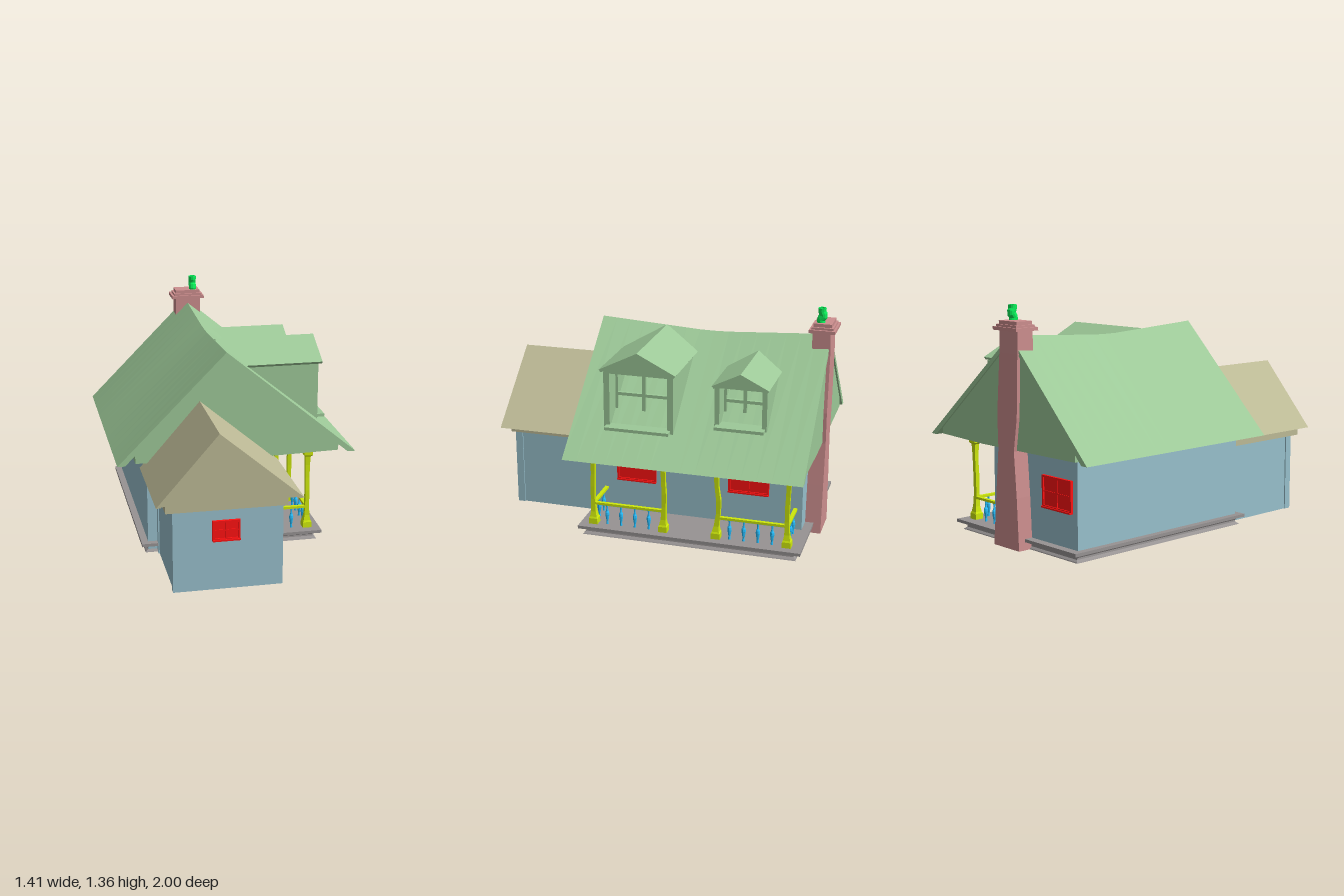
import * as THREE from 'three';

const mat = (color, side = THREE.FrontSide) => new THREE.MeshStandardMaterial({ color, flatShading: true, side });
const WALL = mat(0x98c0cc), ROOF = mat(0x9dc998), ANNEX_ROOF = mat(0xbdba96), BRICK = mat(0xcc8e8e);
const STONE = mat(0x979393), YELLOW = mat(0xcee80c), RED = mat(0xff1212), CYAN = mat(0x28c0ff);
const PIPE = mat(0x0af05a, THREE.DoubleSide);

function add(parent, name, geometry, material) {
  const m = new THREE.Mesh(geometry, material);
  m.name = name;
  parent.add(m);
  return m;
}

// box given by its limits
function box(parent, name, material, x0, x1, y0, y1, z0, z1) {
  const g = new THREE.BoxGeometry(x1 - x0, y1 - y0, z1 - z0);
  g.translate((x0 + x1) / 2, (y0 + y1) / 2, (z0 + z1) / 2);
  return add(parent, name, g, material);
}

// polygon in x/y extruded from z0 to z1
function prism(points, z0, z1, hole, steps = 1) {
  const shape = new THREE.Shape(points.map(p => new THREE.Vector2(...p)));
  if (hole) shape.holes.push(new THREE.Path(hole.map(p => new THREE.Vector2(...p))));
  const g = new THREE.ExtrudeGeometry(shape, { depth: z1 - z0, steps, bevelEnabled: false });
  return g.translate(0, 0, z0);
}

// rectangular sections [y, x0, x1, z0, z1] joined in order and capped
function loft(sections) {
  const rings = sections.map(([y, x0, x1, z0, z1]) => [[x0, y, z1], [x1, y, z1], [x1, y, z0], [x0, y, z0]]);
  const pos = [];
  const quad = (a, b, c, d) => [a, b, c, a, c, d].forEach(p => pos.push(...p));
  for (let k = 0; k + 1 < rings.length; k++) {
    for (let i = 0; i < 4; i++) {
      const j = (i + 1) % 4;
      quad(rings[k][i], rings[k][j], rings[k + 1][j], rings[k + 1][i]);
    }
  }
  quad(...rings[rings.length - 1]);
  quad(...[...rings[0]].reverse());
  const g = new THREE.BufferGeometry();
  g.setAttribute('position', new THREE.Float32BufferAttribute(pos, 3));
  g.computeVertexNormals();
  return g;
}

// let the ridge drop in two straight runs to a short level stretch
function sag(g) {
  const p = g.attributes.position;
  for (let i = 0; i < p.count; i++) {
    const t = THREE.MathUtils.clamp((p.getZ(i) + 0.965) / 1.39, 0, 1);
    const y = p.getY(i);
    p.setY(i, y - 0.038 * Math.min(1, t / 0.457, (1 - t) / 0.45) * Math.max(0, y - 0.56) / 0.64);
  }
  g.computeVertexNormals();
  return g;
}

// framed window facing +z, centred on its origin
function makeWindow(parent, w, h, x, y, z, turn) {
  const g = new THREE.Group();
  g.name = 'window';
  const a = w / 2, b = h / 2, f = 0.012;
  box(g, 'windowPane', RED, -a + f, a - f, -b + f, b - f, -0.01, 0.008);
  add(g, 'windowFrame', prism([[-a, -b], [a, -b], [a, b], [-a, b]], -0.01, 0.016,
    [[-a + f, -b + f], [-a + f, b - f], [a - f, b - f], [a - f, -b + f]]), RED);
  box(g, 'windowMullion', RED, -0.004, 0.004, -b + f, b - f, 0, 0.012);
  box(g, 'windowRail', RED, -a + f, a - f, -0.004, 0.004, 0, 0.012);
  box(g, 'windowSill', RED, -a, a, -b - 0.003, -b + 0.006, 0, 0.024);
  g.position.set(x, y, z);
  g.rotation.y = turn;
  parent.add(g);
}

// dormer facing +x: wall with a deep-set window, gabled roof and sill
function makeDormer(parent, o) {
  const g = new THREE.Group();
  g.name = 'dormer';
  const { wall: w, eave: e, bottom, eaveY, peak, front, back, openW: a, y0, y1 } = o;
  const k = (peak - eaveY) / e, under = peak - 0.025;
  add(g, 'dormerWall', prism(
    [[-w, bottom], [w, bottom], [w, under - k * w], [0, under], [-w, under - k * w]], back + 0.12, front - 0.02,
    [[-a, y0], [-a, y1], [a, y1], [a, y0]]), ROOF);
  add(g, 'dormerRoof', prism(
    [[-e, eaveY], [-e + 0.012, eaveY - 0.015], [0, under], [e - 0.012, eaveY - 0.015], [e, eaveY], [0, peak]],
    back, front), ROOF);
  const ym = (y0 + y1) / 2, f = front - 0.15, t = 0.015;
  add(g, 'dormerWindowFrame', prism([[-a, y0], [a, y0], [a, y1], [-a, y1]], f, f + 0.02,
    [[-a + t, y0 + t], [-a + t, y1 - t], [a - t, y1 - t], [a - t, y0 + t]]), ROOF);
  box(g, 'dormerMullion', ROOF, -0.01, 0.01, y0, y1, f, f + 0.02);
  box(g, 'dormerCrossbar', ROOF, -a, a, ym - 0.009, ym + 0.009, f, f + 0.02);
  box(g, 'dormerSill', ROOF, -a - 0.02, a + 0.02, y0 - 0.018, y0, front - 0.06, front + 0.028);
  g.rotation.y = Math.PI / 2;
  g.position.z = o.z;
  parent.add(g);
}

// four thin walls open at top and bottom
function makeWalls(parent, name, x0, x1, z0, z1, h, t) {
  add(parent, name, prism([[x0, -z1], [x1, -z1], [x1, -z0], [x0, -z0]], 0, h,
    [[x0 + t, -z1 + t], [x0 + t, -z0 - t], [x1 - t, -z0 - t], [x1 - t, -z1 + t]]).rotateX(-Math.PI / 2), WALL);
}

export function createModel() {
  const house = new THREE.Group();
  house.name = 'house';

  // moulded plinth, hollow underneath, that also carries the porch
  add(house, 'plinth', loft([[0.046, -0.525, 0.463, -0.88, 0.365], [0.001, -0.525, 0.463, -0.88, 0.365],
    [0.001, -0.547, 0.487, -0.9, 0.387], [0.006, -0.543, 0.483, -0.898, 0.383],
    [0.016, -0.531, 0.469, -0.886, 0.371], [0.026, -0.53, 0.468, -0.885, 0.37], [0.036, -0.536, 0.474, -0.891, 0.376],
    [0.046, -0.55, 0.49, -0.905, 0.39], [0.046, -0.57, 0.513, -0.93, 0.41], [0.064, -0.57, 0.513, -0.93, 0.41]]), STONE);

  // main house and front annex walls, with end boards on the annex
  makeWalls(house, 'mainWalls', -0.53, 0.2, -0.88, 0.372, 0.57, 0.008);
  makeWalls(house, 'annexWalls', -0.468, 0.132, 0.372, 0.943, 0.5, 0.005);
  for (const s of [-1, 1]) {
    const x0 = s < 0 ? -0.475 : 0.126;
    box(house, 'annexFrontBoard', WALL, x0, x0 + 0.014, 0, 0.476, 0.9, 0.943);
    box(house, 'annexBackBoard', WALL, x0, x0 + 0.014, 0, 0.476, 0.368, 0.413);
  }
  box(house, 'annexFrontWall', WALL, -0.475, 0.14, 0, 0.476, 0.938, 0.945);

  // windows
  for (const z of [0.135, -0.557]) makeWindow(house, 0.245, 0.18, 0.2, 0.353, z, Math.PI / 2);
  makeWindow(house, 0.245, 0.18, -0.37, 0.353, -0.88, Math.PI);
  makeWindow(house, 0.155, 0.115, -0.18, 0.352, 0.945, 0);

  // main roof with filled gables
  add(house, 'mainRoof', sag(prism([[-0.705, 0.56], [-0.66, 0.56], [-0.07, 1.17], [0.655, 0.56], [0.703, 0.56],
    [-0.07, 1.2]], -0.965, 0.425, null, 16)), ROOF);
  add(house, 'attic', sag(prism([[-0.6, 0.568], [0.2, 0.56], [0.6, 0.57], [0.6, 0.608], [-0.07, 1.173], [-0.6, 0.624]],
    -0.955, 0.415, null, 16)), ROOF);

  // annex roof
  add(house, 'annexRoof', prism([[-0.57, 0.525], [-0.545, 0.525], [-0.225, 0.895], [0.21, 0.525], [0.243, 0.525],
    [-0.225, 0.92]], 0.368, 1), ANNEX_ROOF);
  add(house, 'annexGable', prism([[-0.54, 0.528], [0.205, 0.528], [-0.225, 0.897]], 0.368, 0.992), ANNEX_ROOF);
  box(house, 'annexCornice', ANNEX_ROOF, -0.515, 0.16, 0.475, 0.53, 0.365, 0.965);

  // dormers
  makeDormer(house, { z: 0.025, wall: 0.205, eave: 0.225, bottom: 0.71, eaveY: 1.065, peak: 1.178,
    front: 0.54, back: -0.06, openW: 0.17, y0: 0.732, y1: 1.04 });
  makeDormer(house, { z: -0.56, wall: 0.15, eave: 0.163, bottom: 0.767, eaveY: 1.015, peak: 1.096,
    front: 0.498, back: 0.03, openW: 0.122, y0: 0.783, y1: 1.0 });

  // crooked chimney with stepped cap
  add(house, 'chimneyStack', loft([[0, -0.14, 0.088, -0.975, -0.87], [0.3, -0.125, 0.06, -0.975, -0.87],
    [0.56, -0.105, 0.035, -0.975, -0.87], [0.75, -0.135, 0.04, -0.975, -0.87], [1.1, -0.148, 0.012, -0.975, -0.867],
    [1.24, -0.148, 0.012, -0.97, -0.867]]), BRICK);
  box(house, 'chimneyCapLower', BRICK, -0.173, 0.035, 1.226, 1.245, -1, -0.848);
  box(house, 'chimneyCapMiddle', BRICK, -0.158, 0.022, 1.245, 1.258, -0.988, -0.86);
  box(house, 'chimneyCapUpper', BRICK, -0.146, 0.01, 1.258, 1.278, -0.977, -0.87);

  // bent open flue pipe
  const path = new THREE.CatmullRomCurve3([[1.27, -0.91], [1.295, -0.905], [1.318, -0.922], [1.34, -0.912], [1.363, -0.912]]
    .map(([y, z]) => new THREE.Vector3(-0.03, y, z)));
  add(house, 'fluePipe', new THREE.TubeGeometry(path, 10, 0.024, 12), PIPE);
  add(house, 'flueLiner', new THREE.TubeGeometry(path, 10, 0.016, 12), PIPE);
  add(house, 'flueRim', new THREE.RingGeometry(0.016, 0.024, 12).rotateX(-Math.PI / 2).translate(-0.03, 1.363, -0.912), PIPE);

  // hand-carved porch posts: [height, half width, share of the bend]
  const profile = [[0.064, 0.027, 0], [0.098, 0.026, 0], [0.108, 0.021, 0], [0.14, 0.015, 0.2], [0.22, 0.012, 0.9],
    [0.3, 0.013, 1], [0.38, 0.012, 0.2], [0.46, 0.013, -0.2], [0.515, 0.016, 0], [0.525, 0.027, 0], [0.555, 0.027, 0]];
  [[0.33, 0.004], [-0.1, -0.006], [-0.42, -0.014], [-0.84, 0.004]].forEach(([z, bend]) => {
    add(house, 'porchPost', loft(profile.map(([y, r, b]) =>
      [y, 0.438 - r, 0.438 + r, z + b * bend - r, z + b * bend + r])), YELLOW);
  });

  // railings and turned balusters
  const spindle = new THREE.LatheGeometry([[0.008, 0.064], [0.006, 0.085], [0.009, 0.1],
    [0.013, 0.125], [0.012, 0.14], [0.007, 0.15], [0.005, 0.165], [0.007, 0.188]].map(p => new THREE.Vector2(...p)), 8);
  const baluster = (x, z) => add(house, 'baluster', spindle, CYAN).position.set(x, 0, z);
  for (const [z0, z1] of [[-0.1, 0.33], [-0.84, -0.42]]) {
    box(house, 'porchRail', YELLOW, 0.427, 0.449, 0.186, 0.2, z0, z1);
    for (let i = 1; i <= 4; i++) baluster(0.438, z0 + (z1 - z0) * (i / 5 + 0.01));
  }
  for (const z of [0.33, -0.84]) {
    box(house, 'endRail', YELLOW, 0.195, 0.438, 0.186, 0.2, z - 0.011, z + 0.011);
    for (const x of [0.263, 0.345]) baluster(x, z);
  }
  return house;
}
